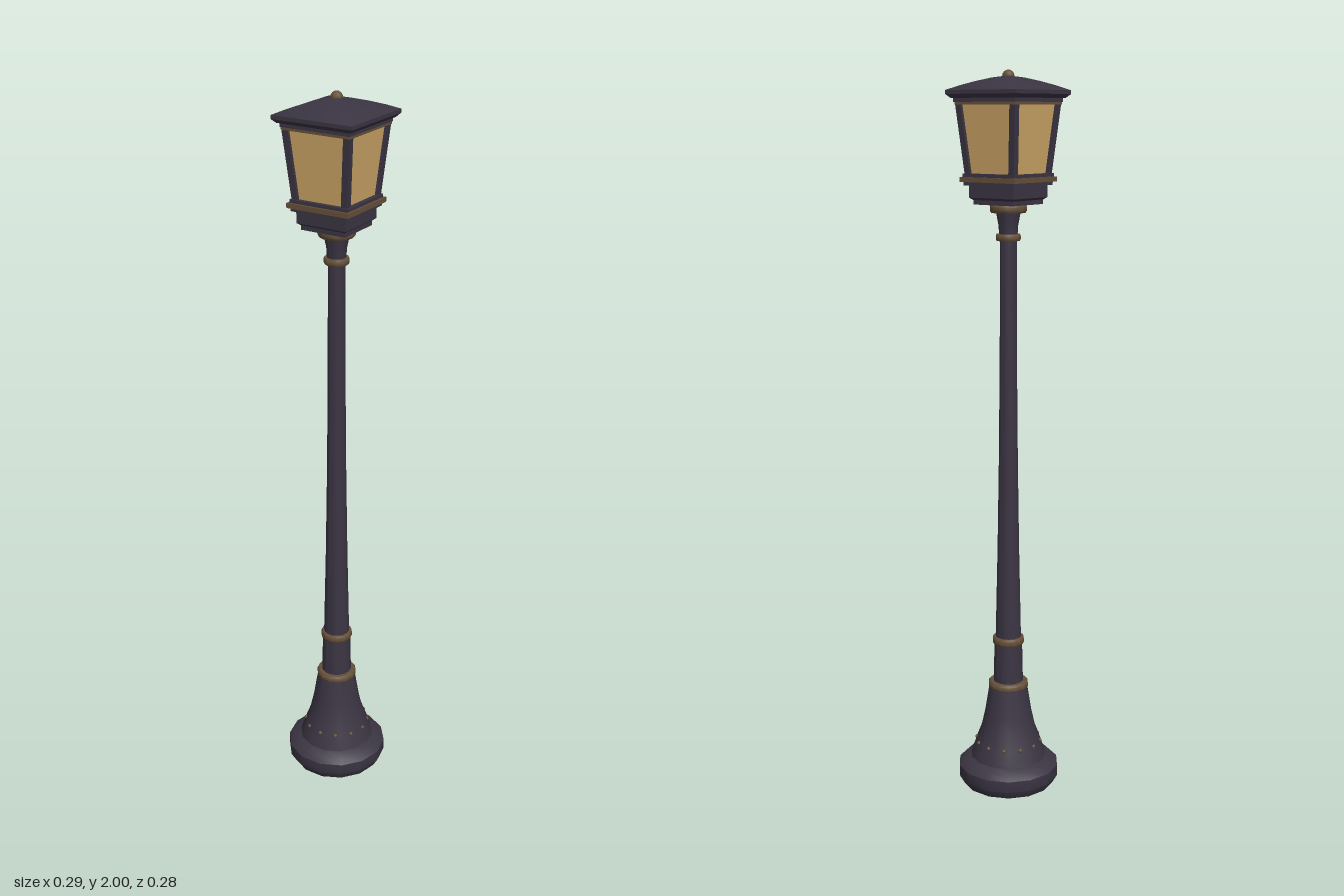
import * as THREE from 'three';
import { toCreasedNormals } from 'three/addons/utils/BufferGeometryUtils.js';

const mat = (name, color) => {
  const m = new THREE.MeshStandardMaterial({ color });
  m.name = name;
  return m;
};

export function createModel() {
  const iron = mat('dark iron', 0x3b3543);
  const brass = mat('aged brass', 0x66503a);
  const glass = mat('amber glass', 0xd0a868);

  const model = new THREE.Group();
  model.name = 'streetLamp';

  const add = (name, geometry, material, parent = model) => {
    const mesh = new THREE.Mesh(geometry, material);
    mesh.name = name;
    parent.add(mesh);
    return mesh;
  };

  // Round part turned from [radius, height] pairs, listed bottom to top
  const turned = (name, profile, material, sides = 14) => {
    const pts = profile.map(([r, y]) => new THREE.Vector2(r, y));
    return add(name, toCreasedNormals(new THREE.LatheGeometry(pts, sides, Math.PI / 2), 0.65), material);
  };

  // Square part from [half width, height] pairs, listed bottom to top
  const square = (name, profile, material) => {
    const pts = profile.map(([w, y]) => new THREE.Vector2(w * Math.SQRT2, y));
    return add(name, toCreasedNormals(new THREE.LatheGeometry(pts, 4, Math.PI / 4), 0.65), material);
  };

  // Rounded collar ring
  const ring = (name, r, y, h) => turned(name, [
    [0, y - h / 2], [r * 0.93, y - h / 2], [r, y - h / 4],
    [r, y + h / 4], [r * 0.93, y + h / 2], [0, y + h / 2],
  ], brass);

  // Foot and flared base
  turned('base', [
    [0, 0], [0.13, 0], [0.144, 0.024], [0.144, 0.056], [0.13, 0.07],
    [0.108, 0.08], [0.104, 0.092], [0.092, 0.128], [0.078, 0.165],
    [0.068, 0.21], [0.06, 0.26], [0.055, 0.29], [0, 0.29],
  ], iron);

  // Rivets around the base
  const rivets = new THREE.Group();
  rivets.name = 'baseRivets';
  model.add(rivets);
  for (let i = 0; i < 12; i++) {
    const a = (i / 12) * Math.PI * 2;
    const rivet = add('rivet', new THREE.SphereGeometry(0.006, 8, 6), brass, rivets);
    rivet.position.set(Math.sin(a) * 0.091, 0.125, Math.cos(a) * 0.091);
  }

  // Lower collar, tapered pole and neck
  ring('baseRing', 0.057, 0.297, 0.022);
  turned('lowerPole', [[0.043, 0.3], [0.04, 0.43]], iron);
  ring('lowerPoleRing', 0.045, 0.43, 0.022);
  turned('pole', [[0.037, 0.43], [0.031, 0.7], [0.027, 0.95], [0.024, 1.25], [0.023, 1.57]], iron);
  ring('upperPoleRing', 0.034, 1.567, 0.018);
  turned('neck', [[0.025, 1.57], [0.027, 1.6], [0.034, 1.635]], iron);
  ring('neckRing', 0.05, 1.643, 0.022);

  // Square lantern seat with brass trim
  square('lanternSeat', [
    [0, 1.654], [0.066, 1.654], [0.066, 1.666], [0.074, 1.672],
    [0.074, 1.706], [0, 1.706],
  ], iron);
  const slab = (name, w, y0, y1, material) =>
    square(name, [[0, y0], [w, y0], [w, y1], [0, y1]], material);
  slab('lowerTrim', 0.084, 1.704, 1.713, iron);
  slab('sillTrim', 0.092, 1.713, 1.726, brass);
  slab('sill', 0.086, 1.726, 1.735, iron);

  // Tapered glass body
  const bottom = 1.733, top = 1.915;
  square('glassPanes', [[0.074, bottom], [0.091, top]], glass);

  // Leaning corner posts
  for (const sx of [-1, 1]) for (const sz of [-1, 1]) {
    const geo = new THREE.BoxGeometry(0.018, top - bottom, 0.018);
    const p = geo.attributes.position;
    for (let i = 0; i < p.count; i++) {
      const lean = p.getY(i) > 0 ? 0.09 : 0.073;
      p.setXYZ(i, p.getX(i) + sx * lean, p.getY(i) + (top + bottom) / 2, p.getZ(i) + sz * lean);
    }
    geo.computeVertexNormals();
    add('cornerPost', geo, iron);
  }

  // Head rail under the roof
  slab('headTrim', 0.1, 1.911, 1.918, brass);
  slab('headRail', 0.102, 1.918, 1.932, iron);

  // Square roof with a softly domed top
  square('roof', [
    [0, 1.928], [0.107, 1.928], [0.117, 1.938], [0.117, 1.948],
    [0.09, 1.96], [0.06, 1.971], [0.03, 1.98], [0, 1.985],
  ], iron);

  // Finial
  const finial = add('finial', new THREE.SphereGeometry(0.016, 10, 8), brass);
  finial.position.y = 1.984;

  return model;
}
